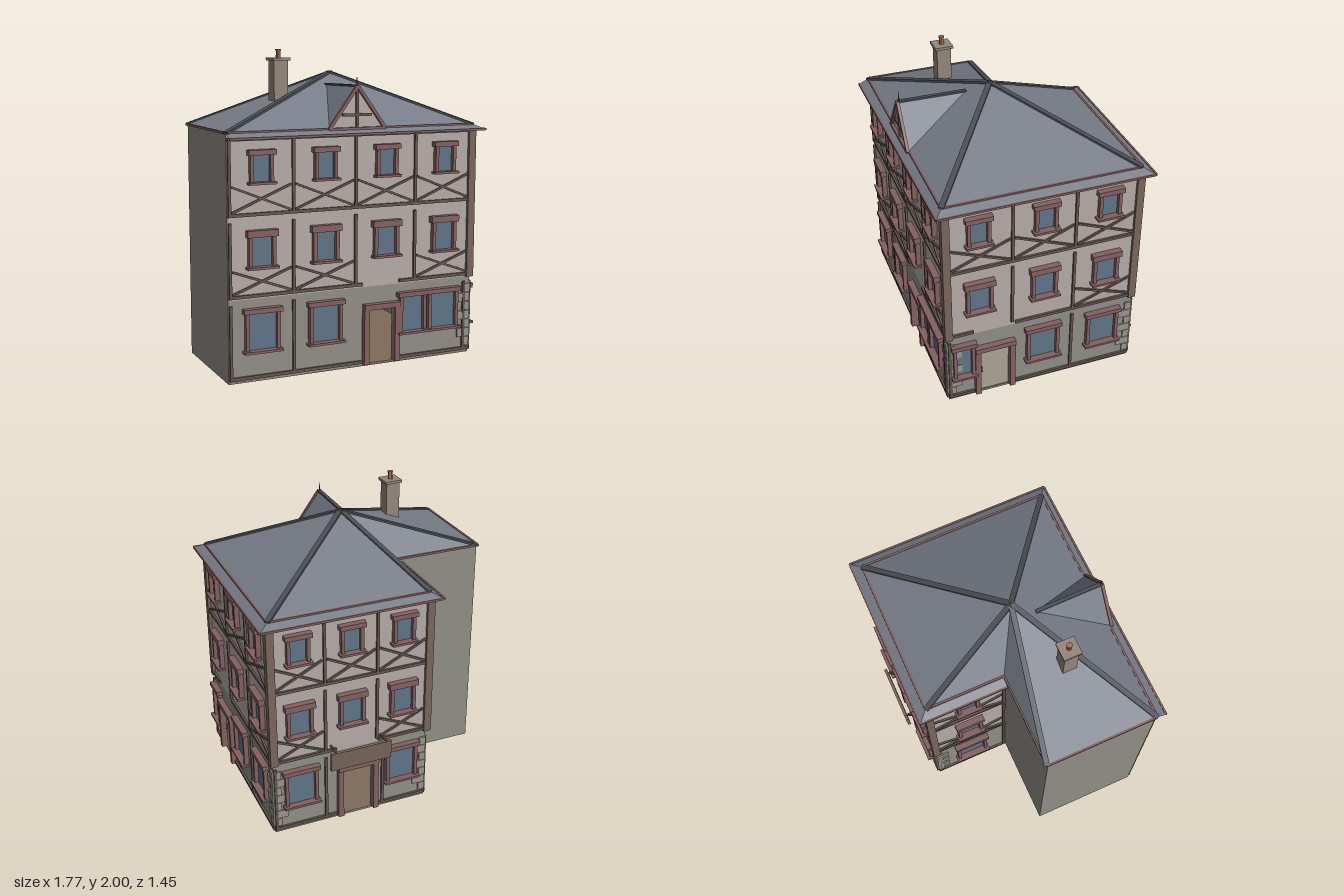
import * as THREE from 'three';

const mat = (color) => new THREE.MeshStandardMaterial({ color, side: THREE.DoubleSide, flatShading: true });
const M = {
  stone: mat(0x8f8d85), plaster: mat(0xb3aaa6), timber: mat(0x62564f), post: mat(0x78655a),
  trim: mat(0x835f60), glass: mat(0x5f7386), roof: mat(0x767c87), ridge: mat(0x4a4e54),
  door: mat(0xa8a494), floor: mat(0x7d6a5a), brick: mat(0x93857a), pot: mat(0xa5734f), quoin: mat(0x98958c),
};
const V = (x, y, z) => new THREE.Vector3(x, y, z);

function add(parent, name, geo, m, x = 0, y = 0, z = 0) {
  const mesh = new THREE.Mesh(geo, m);
  mesh.name = name;
  mesh.position.set(x, y, z);
  parent.add(mesh);
  return mesh;
}
// box given by its limits
const box = (p, name, m, x0, x1, y0, y1, z0, z1) =>
  add(p, name, new THREE.BoxGeometry(x1 - x0, y1 - y0, z1 - z0), m, (x0 + x1) / 2, (y0 + y1) / 2, (z0 + z1) / 2);
// straight bar between two points
function beam(p, name, m, a, b, w, h) {
  const mesh = new THREE.Mesh(new THREE.BoxGeometry(w, h, a.distanceTo(b)), m);
  mesh.position.copy(a).lerp(b, 0.5);
  mesh.lookAt(b);
  mesh.name = name;
  p.add(mesh);
}
// surface from a list of triangles (arrays of three points)
function tris(p, name, m, list) {
  add(p, name, new THREE.BufferGeometry().setFromPoints(list.flat()), m).geometry.computeVertexNormals();
}

// window: pane, jambs, head and sill
const SIZES = [
  { y0: 0.2, y1: 0.43, w: 0.18, t: 0.03 },
  { y0: 0.715, y1: 0.895, w: 0.13, t: 0.042 },
  { y0: 1.225, y1: 1.385, w: 0.105, t: 0.032 },
];
function windowUnit(f, u, level, width) {
  const { y0, y1, w: w0, t } = SIZES[level];
  const h = (width ?? w0) / 2, g = new THREE.Group();
  g.name = 'window';
  g.position.x = u;
  f.add(g);
  box(g, 'pane', M.glass, -h, h, y0, y1, 0, 0.006);
  for (const s of [-1, 1]) {
    const a = s * h, b = s * (h + 0.022);
    box(g, 'jamb', M.trim, Math.min(a, b), Math.max(a, b), y0, y1, 0, 0.032);
  }
  box(g, 'head', M.trim, -h - 0.035, h + 0.035, y1, y1 + t, 0, 0.042);
  box(g, 'sill', M.trim, -h - 0.035, h + 0.035, y0 - 0.015, y0, 0, 0.052);
}

// one timbered facade, drawn in local u (along), y (up), z (outward)
function facade(root, o) {
  const f = new THREE.Group();
  f.name = o.name;
  f.position.set(...o.pos);
  f.rotation.y = o.turn;
  root.add(f);
  const [a, b] = o.span, d = o.door;
  // stone ground floor with a door opening, plaster above
  const s = new THREE.Shape([[a, 0], [b, 0], [b, 0.515], [a, 0.515]].map((q) => new THREE.Vector2(...q)));
  if (d) {
    s.holes.push(new THREE.Path([[d.u - d.h, 0.015], [d.u - d.h, 0.37], [d.u + d.h, 0.37], [d.u + d.h, 0.015]]
      .map((q) => new THREE.Vector2(...q))));
    for (const k of [-1, 1]) box(f, 'doorJamb', M.trim, d.u + k * (d.h + 0.018) - 0.018, d.u + k * (d.h + 0.018) + 0.018, 0.015, 0.405, -0.01, 0.035);
    box(f, 'doorHead', M.trim, d.u - d.h - 0.036, d.u + d.h + 0.036, 0.37, 0.405, -0.01, 0.042);
    if (d.closed) {
      box(f, 'doorLeaf', M.door, d.u - d.h, d.u + d.h, 0.015, 0.37, -0.018, -0.008);
      box(f, 'doorHandle', M.timber, d.u - d.h + 0.012, d.u - d.h + 0.02, 0.17, 0.21, -0.008, 0.002);
    }
  }
  add(f, 'groundWall', new THREE.ExtrudeGeometry(s, { depth: 0.02, bevelEnabled: false }), M.stone, 0, 0, -0.02);
  box(f, 'upperWall', M.plaster, a, b, 0.515, 1.52, -0.02, 0);
  // horizontal timbers, broken around the doorway
  for (const y of [1.48, 1.03]) box(f, 'rail', M.timber, a, b, y - 0.01, y + 0.01, 0, 0.014);
  const parts = d ? [[a, d.u - d.h - 0.04], [d.u + d.h + 0.04, b]] : [[a, b]];
  for (const y of [0.535, 0.03]) for (const [l, r] of parts) box(f, 'rail', M.timber, l, r, y - 0.01, y + 0.01, 0, 0.014);
  // upright timbers
  const levels = [[0.04, 0.485], [0.545, 0.985], [1.04, 1.47]];
  levels.forEach(([y0, y1], i) => {
    for (const u of i ? o.posts : o.groundPosts) box(f, 'stud', M.timber, u - 0.009, u + 0.009, y0, y1, 0, 0.014);
  });
  // crossed braces below the windows
  o.braces.forEach((panels, i) => panels.forEach((n) => {
    const l = o.posts[n] + 0.015, r = o.posts[n + 1] - 0.015, y0 = [0.55, 1.045][i], y1 = [0.69, 1.2][i];
    beam(f, 'brace', M.timber, V(l, y0, 0.005), V(r, y1, 0.005), 0.014, 0.014);
    beam(f, 'brace', M.timber, V(l, y1, 0.005), V(r, y0, 0.005), 0.014, 0.014);
  }));
  for (const u of o.windows) for (const level of [1, 2]) windowUnit(f, u, level);
  for (const [u, w] of o.groundWindows) windowUnit(f, u, 0, w);
  // alternating corner stones
  for (const [u, side] of o.quoins) for (let k = 0; k < 7; k++) {
    const w = k % 2 ? 0.09 : 0.045, y = 0.05 + k * 0.06;
    box(f, 'quoin', M.quoin, side > 0 ? u : u - w, side > 0 ? u + w : u, y, y + 0.056, 0, 0.01);
  }
  return f;
}

export function createModel() {
  const root = new THREE.Group();
  root.name = 'timberedHouse';
  const L = -0.87, I = -0.25, R = 0.81, F = 0.64, B = -0.63, W = -0.09;

  facade(root, {
    name: 'frontFacade', pos: [0, 0, F], turn: 0, span: [L, R], door: { u: 0.15, h: 0.092 },
    posts: [-0.86, -0.45, -0.03, 0.39, 0.8], groundPosts: [-0.86, -0.45, 0.765], braces: [[0, 1, 3], [0, 1, 2, 3]],
    windows: [-0.66, -0.24, 0.18, 0.6], groundWindows: [[-0.66], [-0.24], [0.375, 0.15], [0.6]], quoins: [[R, -1]],
  });
  facade(root, {
    name: 'rightFacade', pos: [R, 0, 0], turn: Math.PI / 2, span: [-F, -B], door: { u: -0.33, h: 0.1, closed: true },
    posts: [-0.63, -0.21, 0.205, 0.62], groundPosts: [-0.63, 0.205], braces: [[2], [0, 1, 2]],
    windows: [-0.43, 0, 0.42], groundWindows: [[-0.54, 0.1], [0], [0.42]], quoins: [[-F, 1], [-B, -1]],
  });
  const back = facade(root, {
    name: 'backFacade', pos: [0, 0, B], turn: Math.PI, span: [-R, -I], door: { u: -0.24, h: 0.105 },
    posts: [-0.8, -0.457, -0.103, 0.24], groundPosts: [-0.8, -0.457, -0.06], braces: [[0, 2], [0, 1, 2]],
    windows: [-0.63, -0.28, 0.07], groundWindows: [[-0.63], [0.07]], quoins: [[-R, 1], [-I, -1]],
  });
  facade(root, {
    name: 'leftFacade', pos: [I, 0, 0], turn: -Math.PI / 2, span: [B, W],
    posts: [-0.62, -0.105], groundPosts: [-0.105], braces: [[0], [0]],
    windows: [-0.36], groundWindows: [[-0.36]], quoins: [[B, 1]],
  });

  // plain boundary walls of the wing, and the floor
  box(root, 'wingLeftWall', M.stone, L - 0.005, L + 0.015, 0, 1.52, W, F);
  box(root, 'wingBackWall', M.stone, L, I, 0, 1.52, W, W + 0.02);
  box(root, 'mainFloor', M.floor, I, R, 0, 0.015, B, F);
  box(root, 'wingFloor', M.floor, L, I, 0, 0.015, W, F);
  for (const [x, z] of [[R, F], [R, B], [I, B]])
    box(root, 'cornerPost', M.post, x - 0.03, x + 0.02, 0.515, 1.5, z - (z > 0 ? 0.03 : 0.02), z + (z > 0 ? 0.02 : 0.03));

  // hanging board above the back door
  const sign = box(back, 'hangingBoard', M.post, -0.455, -0.04, 0.435, 0.565, 0.075, 0.095);
  sign.rotation.x = 0.06;
  for (const u of [-0.42, -0.075]) {
    beam(back, 'boardBracket', M.timber, V(u, 0.45, 0), V(u, 0.56, 0.08), 0.01, 0.01);
    beam(back, 'boardArm', M.timber, V(u, 0.565, 0), V(u, 0.565, 0.09), 0.01, 0.01);
  }

  // roof: slopes fan out from one peak
  const peak = V(0.05, 1.85, 0.08), Y = 1.52;
  const eave = [[-0.88, 0.65], [R, 0.65], [R, B], [I, B], [I, -0.1], [-0.88, -0.1]].map(([x, z]) => V(x, Y, z));
  tris(root, 'roof', M.roof, eave.map((p, i) => [p, eave[(i + 1) % 6], peak]));
  eave.forEach((p, i) => {
    if (i !== 4) beam(root, 'hipCap', M.ridge, p, peak, 0.035, 0.014);
    beam(root, 'eaveTrim', M.trim, p, eave[(i + 1) % 6], 0.014, 0.014);
  });
  // flared skirt over the facades
  const lip = [[-0.88, 0.715], [0.875, 0.7], [0.875, -0.695], [-0.315, -0.695], [-0.315, -0.1]].map(([x, z]) => V(x, 1.488, z));
  for (let i = 0; i < 4; i++) {
    tris(root, 'roofSkirt', M.roof, [[lip[i], lip[i + 1], eave[i + 1]], [lip[i], eave[i + 1], eave[i]]]);
    beam(root, 'skirtTrim', M.trim, lip[i], lip[i + 1], 0.012, 0.014);
  }

  // small gabled dormer
  const dormer = new THREE.Group();
  dormer.name = 'dormer';
  dormer.position.x = -0.03;
  root.add(dormer);
  const top = V(0, 1.78, 0.66), tail = V(0, 1.775, 0.21), dl = V(-0.19, Y, 0.66), dr = V(0.19, Y, 0.66);
  tris(dormer, 'dormerRoof', M.roof, [[dl, top, tail], [dr, tail, top]]);
  tris(dormer, 'dormerGable', M.plaster, [[V(-0.18, Y, 0.65), V(0.18, Y, 0.65), V(0, 1.77, 0.65)]]);
  for (const p of [dl, dr]) beam(dormer, 'bargeBoard', M.trim, p, top, 0.02, 0.02);
  beam(dormer, 'dormerSill', M.trim, dl, dr, 0.02, 0.016);
  box(dormer, 'kingPost', M.timber, -0.008, 0.008, Y, 1.77, 0.65, 0.662);
  box(dormer, 'collarBeam', M.timber, -0.1, 0.1, 1.595, 1.612, 0.65, 0.662);
  beam(dormer, 'dormerRidge', M.ridge, top, tail, 0.025, 0.012);
  add(dormer, 'finial', new THREE.ConeGeometry(0.008, 0.1, 6), M.ridge, 0, 1.8, 0.65);

  // chimney
  box(root, 'chimneyStack', M.brick, -0.432, -0.338, 1.5, 1.93, 0.208, 0.302);
  box(root, 'chimneyCap', M.brick, -0.445, -0.325, 1.928, 1.946, 0.195, 0.315);
  add(root, 'chimneyPot', new THREE.CylinderGeometry(0.014, 0.016, 0.055, 10), M.pot, -0.385, 1.967, 0.255);
  add(root, 'potRim', new THREE.CylinderGeometry(0.019, 0.019, 0.01, 10), M.pot, -0.385, 1.995, 0.255);
  return root;
}
